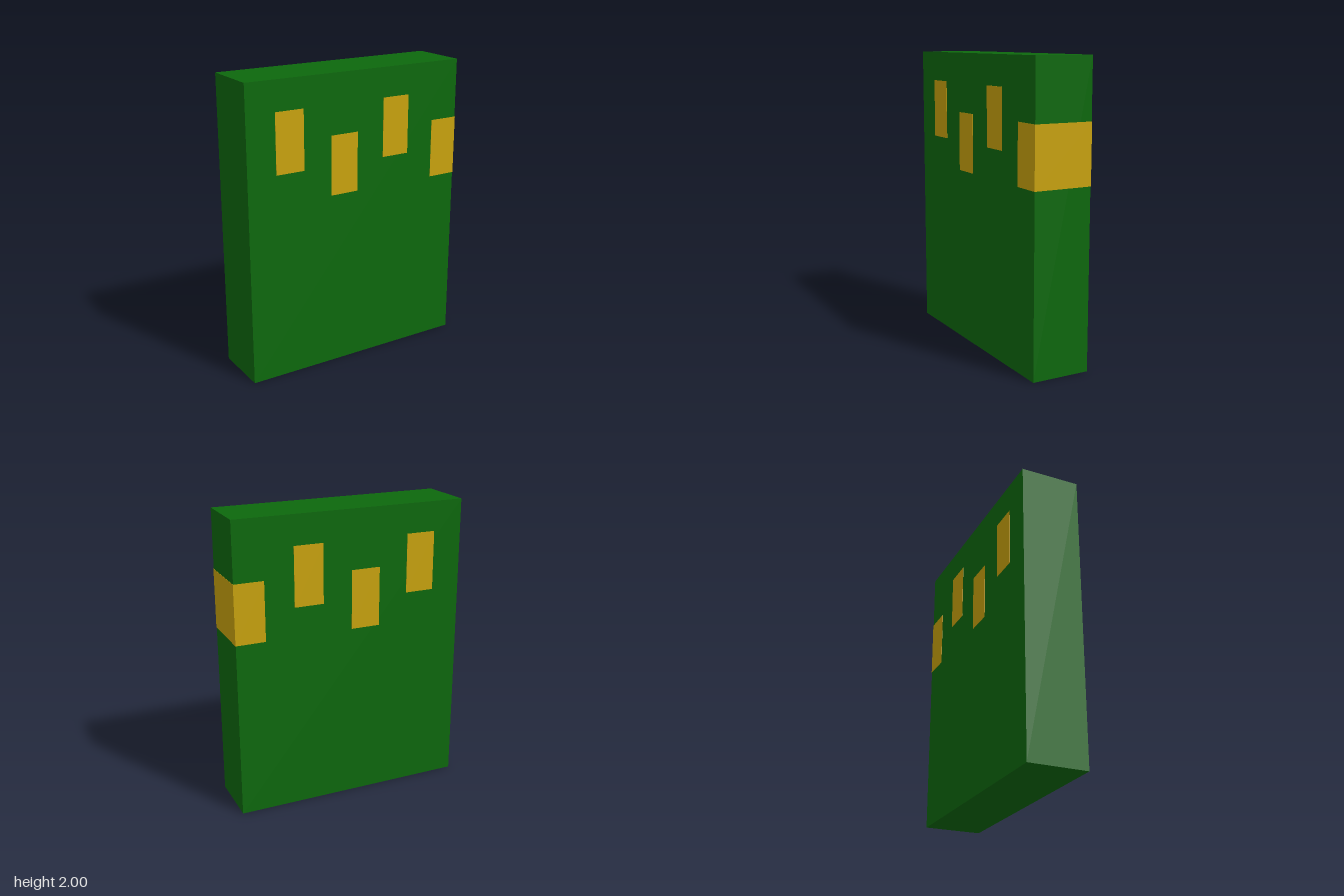
import * as THREE from 'three';

export function createModel() {
  const model = new THREE.Group();
  const green = new THREE.MeshStandardMaterial({ name: 'green', color: 0x0d680d });
  const gold = new THREE.MeshStandardMaterial({ name: 'gold', color: 0xc8a20d });

  const W = 1.6, H = 2, D = 0.4; // slab size
  const T = 0.004; // plate thickness, half sunk into the slab

  function box(name, material, size, position) {
    const mesh = new THREE.Mesh(new THREE.BoxGeometry(...size), material);
    mesh.name = name;
    mesh.position.set(...position);
    model.add(mesh);
  }

  // Upright slab
  box('slab', green, [W, H, D], [0, H / 2, 0]);

  // Staggered gold marks, repeated on the front and back
  const marks = [[-0.5, 1.6], [-0.1, 1.4], [0.3, 1.6], [0.7, 1.4]];
  for (const [x, y] of marks) {
    box('frontMark', gold, [0.2, 0.4, T], [x, y, D / 2]);
    box('backMark', gold, [0.2, 0.4, T], [x, y, -D / 2]);
  }

  // The last mark wraps around the left edge
  box('sideMark', gold, [T, 0.4, D + T], [W / 2, 1.4, 0]);

  return model;
}
